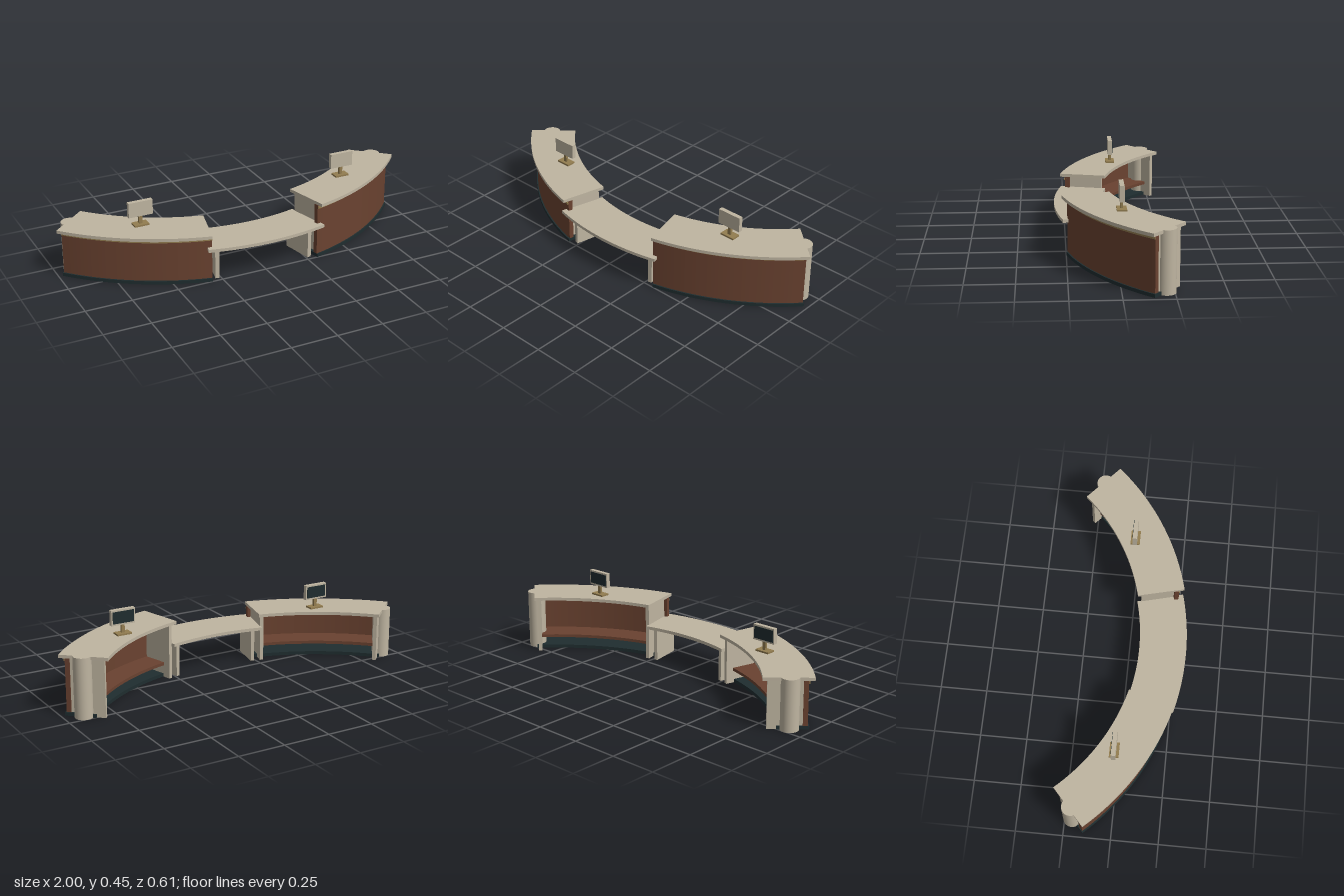
import * as THREE from 'three';

const mat = (name, color) => Object.assign(new THREE.MeshStandardMaterial({ color }), { name });

const ZC = -1.03; // z of the centre all the curved parts share
const rad = THREE.MathUtils.degToRad;

// Slab following the arc: radii r0..r1, angles a0..a1 in degrees from +z, heights y0..y1
function arcSlab(name, r0, r1, a0, a1, y0, y1, material, segments = 20) {
  const t0 = Math.PI / 2 - rad(Math.max(a0, a1));
  const t1 = Math.PI / 2 - rad(Math.min(a0, a1));
  const shape = new THREE.Shape();
  shape.absarc(0, 0, r1, t0, t1, false);
  shape.absarc(0, 0, r0, t1, t0, true);
  const geo = new THREE.ExtrudeGeometry(shape, { depth: y1 - y0, bevelEnabled: false, curveSegments: segments });
  geo.rotateX(Math.PI / 2);
  geo.translate(0, y1, ZC);
  const mesh = new THREE.Mesh(geo, material);
  mesh.name = name;
  return mesh;
}

function box(name, x0, x1, y0, y1, z0, z1, material) {
  const mesh = new THREE.Mesh(new THREE.BoxGeometry(x1 - x0, y1 - y0, z1 - z0), material);
  mesh.position.set((x0 + x1) / 2, (y0 + y1) / 2, (z0 + z1) / 2);
  mesh.name = name;
  return mesh;
}

export function createModel() {
  const cream = mat('cream laminate', 0xbfb5a1);
  const brown = mat('brown wood', 0x6a4230);
  const dark = mat('dark slate', 0x1f2d2f);
  const brass = mat('brass', 0x937d50);

  // Display facing the staff side, standing on a counter of height y
  function monitor(x, y) {
    const g = new THREE.Group();
    g.name = 'monitor';
    g.add(
      box('monitorBase', -0.04, 0.04, 0, 0.009, -0.042, 0.008, brass),
      box('monitorStem', -0.009, 0.009, 0.009, 0.08, -0.024, -0.01, brass),
      box('monitorCase', -0.066, 0.066, 0.053, 0.134, -0.028, -0.005, cream),
      box('monitorScreen', -0.059, 0.059, 0.062, 0.125, -0.03, -0.027, dark)
    );
    g.position.set(x, y, 0);
    return g;
  }

  // One curved desk; s is the side (+1 left, -1 right), top the counter height
  function desk(name, s, top) {
    const g = new THREE.Group();
    g.name = name;
    const under = top - 0.017;
    const slab = (n, r0, r1, a0, a1, y0, y1, m, seg) =>
      g.add(arcSlab(n, r0, r1, a0 * s, a1 * s, y0, y1, m, seg));
    slab('countertop', 1.087, 1.338, 13.6, 48.3, under, top, cream);
    slab('frontPanel', 1.285, 1.309, 13.5, 47.8, 0.018, under, brown);
    slab('trimStrip', 1.3, 1.315, 13.5, 47.8, under - 0.018, under - 0.008, brass);
    slab('plinth', 1.157, 1.316, 13.5, 48, 0, 0.018, dark);
    slab('shelf', 1.15, 1.286, 15, 47, 0.066, 0.082, brown);
    // Panels closing both ends
    slab('innerEndPanel', 1.11, 1.286, 14.3, 15.3, 0, under, cream, 1);
    slab('outerEndPanel', 1.11, 1.286, 46.6, 47.6, 0, under, cream, 1);
    // Rounded column on the outer end
    const column = new THREE.Mesh(new THREE.CylinderGeometry(0.047, 0.047, top, 24), cream);
    column.name = 'endColumn';
    column.position.set(s * 0.904, top / 2, -0.21);
    g.add(column);
    g.add(monitor(s * 0.589, top));
    return g;
  }

  const model = new THREE.Group();
  model.name = 'receptionDesk';
  model.add(desk('tallDesk', 1, 0.318), desk('shortDesk', -1, 0.27));

  // Low bridge between the desks and its two supports
  model.add(arcSlab('bridgeTop', 1.087, 1.338, -14.5, 14.5, 0.178, 0.195, cream));
  for (const s of [1, -1]) {
    model.add(arcSlab('bridgeSupport', 1.11, 1.286, 11.6 * s, 12.6 * s, 0, 0.178, cream, 1));
  }
  return model;
}
